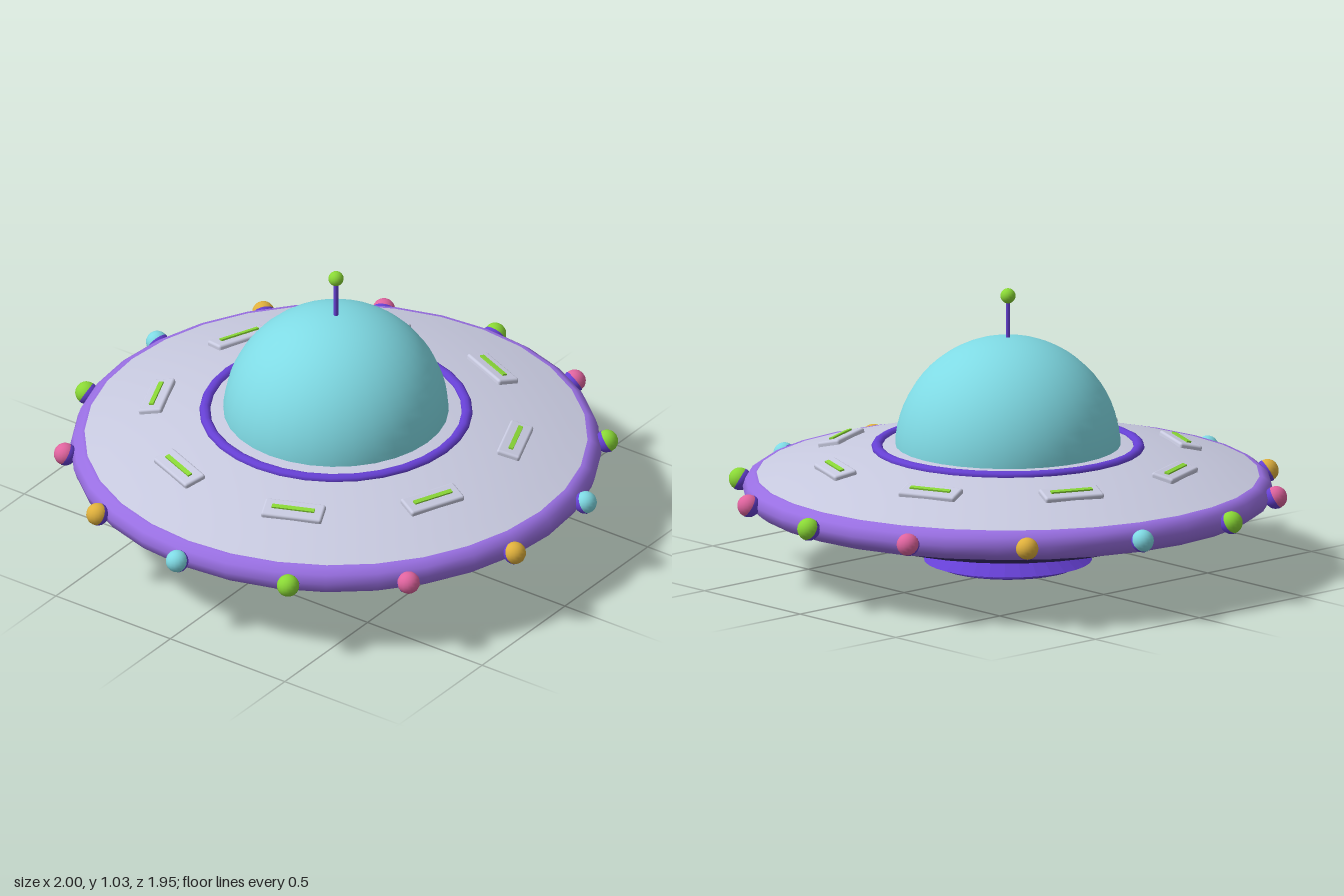
import * as THREE from 'three';
import { RoundedBoxGeometry } from 'three/addons/geometries/RoundedBoxGeometry.js';

const mat = (name, color) => Object.assign(new THREE.MeshStandardMaterial({ color }), { name });

export function createModel() {
  const silver = mat('silver', 0xc8cae0);
  const violet = mat('violet', 0x9a70e4);
  const purple = mat('deep purple', 0x6640d4);
  const dark = mat('dark indigo', 0x3b2c70);
  const teal = mat('teal', 0x7fdae4);
  const green = mat('green', 0x8ad836);
  const pink = mat('pink', 0xe0649f);
  const gold = mat('gold', 0xdfb03c);

  const model = new THREE.Group();
  model.name = 'flyingSaucer';
  const add = (name, geometry, material, parent = model, x = 0, y = 0, z = 0) => {
    const mesh = new THREE.Mesh(geometry, material);
    mesh.name = name;
    mesh.position.set(x, y, z);
    parent.add(mesh);
    return mesh;
  };
  const flatTorus = (radius, tube, squash, sides = 10) =>
    new THREE.TorusGeometry(radius, tube, sides, 32).rotateX(Math.PI / 2).scale(1, squash, 1);
  // Shallow bowl: radius runs from r0 to r1, height follows y + bend * r * r
  const bowl = (r0, r1, y, bend) => new THREE.LatheGeometry(Array.from({ length: 13 }, (_, i) => {
    const r = r0 + (r1 - r0) * i / 12;
    return new THREE.Vector2(r, y + bend * r * r);
  }), 32);

  // Two shallow bowls and a rounded rim form the disc
  const TOP_Y = 0.4905, TOP_BEND = -0.174;
  add('upperHull', bowl(0.9, 0, TOP_Y, TOP_BEND), silver);
  add('lowerHull', bowl(0, 0.88, 0.08, 0.25), dark);
  add('rimRing', flatTorus(0.885, 0.055, 1), violet, model, 0, 0.3, 0);

  // Cockpit dome with its collar and antenna
  add('dome', new THREE.SphereGeometry(0.4, 32, 16, 0, Math.PI * 2, 0, Math.PI / 2), teal, model, 0, 0.45, 0);
  add('domeCollar', flatTorus(0.464, 0.02, 0.8), purple, model, 0, 0.453, 0);
  add('antennaRod', new THREE.CylinderGeometry(0.008, 0.008, 0.17, 10), purple, model, 0, 0.915, 0);
  add('antennaBall', new THREE.SphereGeometry(0.027, 16, 12), green, model, 0, 1, 0);

  // Flared base and the glowing lens below it
  const base = [[0.22, 0.03], [0.25, 0.03], [0.255, 0.045], [0.298, 0.045], [0.245, 0.088], [0.22, 0.1]];
  const baseGeometry = new THREE.LatheGeometry(base.map(([r, y]) => new THREE.Vector2(r, y)), 32).toNonIndexed();
  baseGeometry.computeVertexNormals();
  add('baseFlare', baseGeometry, purple);
  add('baseInnerRing', flatTorus(0.235, 0.016, 0.6, 8), purple, model, 0, 0.032, 0);
  add('baseLens', new THREE.SphereGeometry(1, 32, 12, 0, Math.PI * 2, Math.PI / 2, Math.PI / 2)
    .scale(0.222, 0.035, 0.222), green, model, 0, 0.035, 0);

  // Eight slanted window panels lying on the upper hull
  const panelR = 0.65;
  const frameGeometry = new RoundedBoxGeometry(0.086, 0.03, 0.22, 3, 0.009);
  const slitGeometry = new THREE.BoxGeometry(0.017, 0.009, 0.155);
  for (let i = 0; i < 8; i++) {
    const turn = new THREE.Group();
    turn.name = 'windowPanel';
    turn.rotation.y = (i + 0.5) * Math.PI / 4;
    const tilt = new THREE.Group();
    tilt.name = 'windowTilt';
    tilt.position.set(panelR, TOP_Y + TOP_BEND * panelR * panelR, 0);
    tilt.rotation.z = Math.atan(2 * TOP_BEND * panelR);
    add('windowFrame', frameGeometry, silver, tilt);
    add('windowSlit', slitGeometry, green, tilt, 0, 0.0165, 0);
    turn.add(tilt);
    model.add(turn);
  }

  // Fourteen lamps around the rim, each with a cup over its inner, lower half
  const lampColors = [green, pink, gold, teal];
  const lampGeometry = new THREE.SphereGeometry(0.04, 16, 12);
  const cupGeometry = new THREE.SphereGeometry(0.0412, 16, 8, 0, Math.PI * 2, 0, Math.PI / 2)
    .rotateZ(Math.PI * 2 / 3);
  for (let i = 0; i < 14; i++) {
    const lamp = new THREE.Group();
    lamp.name = 'rimLamp';
    lamp.rotation.y = i * Math.PI / 7;
    add('lampBulb', lampGeometry, lampColors[i % 4], lamp, 0.96, 0.302, 0);
    add('lampCup', cupGeometry, purple, lamp, 0.96, 0.302, 0);
    model.add(lamp);
  }
  return model;
}
